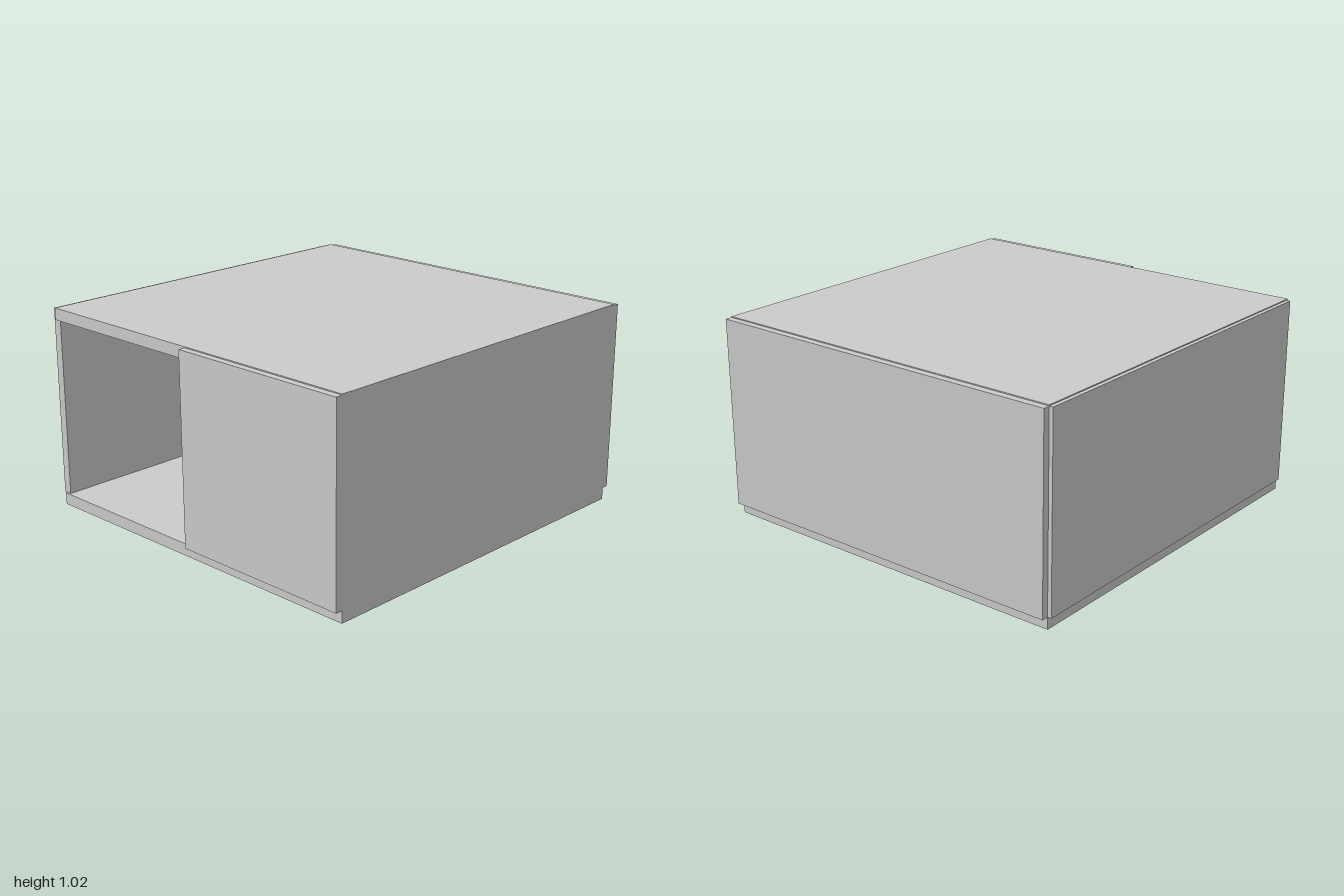
import * as THREE from 'three';

const material = new THREE.MeshStandardMaterial({ color: 0xcccccc, flatShading: true });

// Box given by its lower and upper bounds on each axis
function slab(name, [x0, x1], [y0, y1], [z0, z1]) {
  const geometry = new THREE.BoxGeometry(x1 - x0, y1 - y0, z1 - z0);
  geometry.translate((x0 + x1) / 2, (y0 + y1) / 2, (z0 + z1) / 2);
  const mesh = new THREE.Mesh(geometry, material);
  mesh.name = name;
  return mesh;
}

export function createModel() {
  const model = new THREE.Group();
  model.name = 'cabinet';

  const bodyX = [-0.965, 0.965], bodyZ = [-0.95, 0.97];
  const panelY = [0.06, 1.02];

  // Carcass: floor, top and front wall
  model.add(slab('floor', bodyX, [0, 0.06], bodyZ));
  model.add(slab('top', bodyX, [0.965, 1.025], bodyZ));
  model.add(slab('frontWall', bodyX, [0.06, 0.965], [0.91, 0.97]));

  // Cladding panels standing slightly proud of the carcass
  model.add(slab('backPanel', [-0.955, 0.965], panelY, [-0.97, -0.925]));
  model.add(slab('leftPanel', [0.945, 1], panelY, bodyZ));

  // Half-width panel leaves the rear of the right side open
  model.add(slab('rightPanel', [-1, -0.945], panelY, [0.005, 0.97]));

  return model;
}
